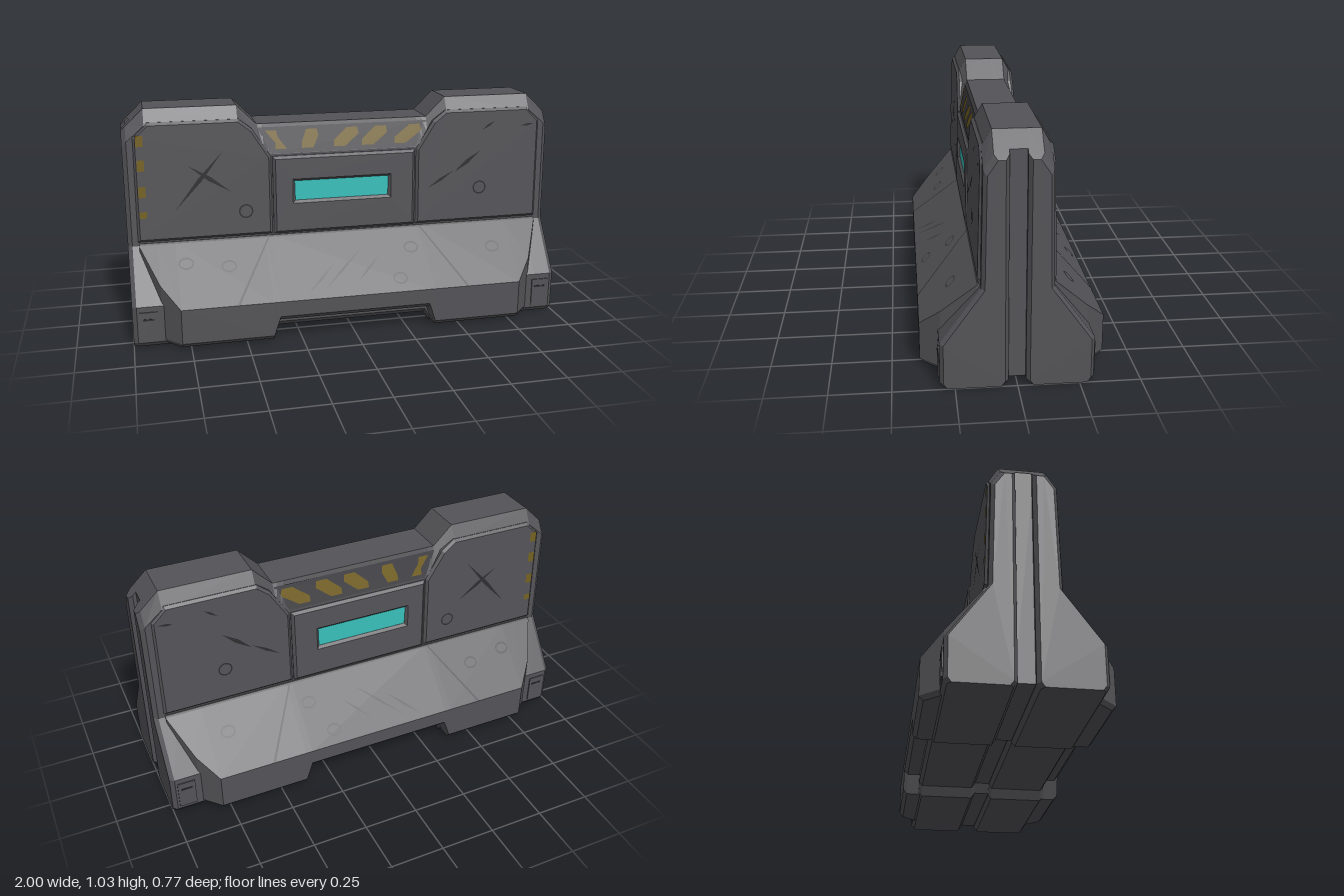
import * as THREE from 'three';

const mat = (name, color) => Object.assign(new THREE.MeshStandardMaterial({ color }), { name });

// Surface depth of the tilted upper panels, the sloped skirt and the hazard strip
const panelZ = (y) => 0.156 - 0.025 * (y - 0.43);
const skirtZ = (y) => (y < 0.19 ? 0.385 : 0.15 + (0.43 - y) * 0.98);
const stripZ = (y) => 0.135 - (y - 0.81) * 0.26;

// Joins cross-sections: stations are x values (rising), section(x) gives [z, y] points
function loft(stations, section) {
  const pos = [];
  const loops = stations.map((x) => section(x).map(([z, y]) => [x, y, z]));
  const n = loops[0].length;
  const tri = (a, b, c) => pos.push(...a, ...b, ...c);
  for (let s = 0; s < loops.length - 1; s++) {
    for (let i = 0; i < n; i++) {
      const j = (i + 1) % n;
      const a = loops[s][i], b = loops[s][j], c = loops[s + 1][i], d = loops[s + 1][j];
      tri(a, c, b);
      tri(b, c, d);
    }
  }
  for (const [loop, last] of [[loops[0], false], [loops[loops.length - 1], true]]) {
    const flat = loop.map((p) => new THREE.Vector2(p[2], p[1]));
    for (const [a, b, c] of THREE.ShapeUtils.triangulateShape(flat, [])) {
      if (last) tri(loop[a], loop[c], loop[b]);
      else tri(loop[a], loop[b], loop[c]);
    }
  }
  const geo = new THREE.BufferGeometry();
  geo.setAttribute('position', new THREE.Float32BufferAttribute(pos, 3));
  geo.computeVertexNormals();
  return geo;
}

// Copy reflected to the back, with the corner order swapped
function mirrorZ(source) {
  const geo = source.index ? source.toNonIndexed() : source.clone();
  const p = geo.attributes.position;
  for (let i = 0; i < p.count; i += 3) {
    const v = [0, 2, 1].map((k) => new THREE.Vector3().fromBufferAttribute(p, i + k));
    v.forEach((q, k) => p.setXYZ(i + k, q.x, q.y, -q.z));
  }
  geo.computeVertexNormals();
  return geo;
}

// Linear interpolation through [x, value] pairs, symmetric in x
function ramp(pairs, x) {
  const ax = Math.abs(x);
  for (let i = 1; i < pairs.length; i++) {
    const [x0, v0] = pairs[i - 1], [x1, v1] = pairs[i];
    if (ax <= x1) return v0 + ((v1 - v0) * (ax - x0)) / (x1 - x0);
  }
  return pairs[pairs.length - 1][1];
}
const symmetric = (xs) => [...xs.map((x) => -x), ...xs.slice().reverse()];

const polygon = (pts) => new THREE.Shape(pts.map(([x, y]) => new THREE.Vector2(x, y)));

// Bevelled armour plate, tilted slightly back toward the top
function plate(shape, front) {
  const geo = new THREE.ExtrudeGeometry(shape, {
    depth: 0.02, bevelThickness: 0.012, bevelSize: 0.012, bevelOffset: -0.012, bevelSegments: 1,
  });
  const p = geo.attributes.position;
  for (let i = 0; i < p.count; i++) {
    p.setZ(i, p.getZ(i) + front - 0.032 - 0.025 * (p.getY(i) - 0.43));
  }
  geo.computeVertexNormals();
  return geo;
}

// Flat painted detail laid on a surface
function decal(shape, surface, lift = 0.002) {
  const geo = new THREE.ShapeGeometry(shape).toNonIndexed();
  const p = geo.attributes.position;
  for (let i = 0; i < p.count; i++) p.setZ(i, surface(p.getY(i)) + lift);
  geo.computeVertexNormals();
  return geo;
}

// Scratch that tapers at both ends
function scratch(x0, y0, x1, y1, w) {
  const len = Math.hypot(x1 - x0, y1 - y0);
  const nx = (-(y1 - y0) / len) * w, ny = ((x1 - x0) / len) * w;
  const mx = (x0 + x1) / 2, my = (y0 + y1) / 2;
  return polygon([[x0, y0], [mx - nx, my - ny], [x1, y1], [mx + nx, my + ny]]);
}

function ringShape(x, y, rx, ry) {
  const shape = new THREE.Shape().absellipse(x, y, rx, ry, 0, Math.PI * 2);
  shape.holes.push(new THREE.Path().absellipse(x, y, rx - 0.007, ry - 0.007, 0, Math.PI * 2));
  return shape;
}

export function createModel() {
  const group = new THREE.Group();
  group.name = 'barrier';
  const body = mat('gunmetal', 0x545357);
  const dark = mat('dark seam', 0x2f2e31);
  const worn = mat('worn metal', 0x3f3e42);
  const yellow = mat('faded yellow', 0x73601f);
  const cyan = mat('cyan light', 0x38c0bb);

  const add = (name, geo, material) => {
    const mesh = new THREE.Mesh(geo, material);
    mesh.name = name;
    group.add(mesh);
  };
  const addBoth = (name, geo, material) => {
    add(name + 'Front', geo, material);
    add(name + 'Back', mirrorZ(geo), material);
  };

  // Two core halves, leaving a groove down the ends and along the base
  const topY = (x) => ramp([[0, 0.945], [0.4, 0.945], [0.49, 1.035], [0.9, 1.035], [1, 0.94]], x);
  const shoulderY = (x) => ramp([[0, 0.81], [0.345, 0.81], [0.4, 0.87], [0.49, 0.965], [0.9, 0.965], [1, 0.88]], x);
  const baseY = (x) => ramp([[0, 0.045], [0.35, 0.045], [0.375, 0], [1, 0]], x);
  const inset = (x) => ramp([[0, 0], [0.98, 0], [1, 0.015]], x);
  const core = loft(symmetric([1, 0.98, 0.9, 0.49, 0.4, 0.375, 0.35, 0.345]), (x) => {
    const b = baseY(x), d = inset(x);
    return [
      [0.035 + d, b + 0.02], [0.05 + d, b], [0.295 - d, b], [0.31 - d, b + 0.02], [0.31 - d, 0.19],
      [0.145 - d, 0.42], [0.135 - d, shoulderY(x)], [0.095 - d, topY(x)], [0.035 + d, topY(x)],
    ];
  });
  addBoth('coreHalf', core, body);

  // Recessed spine between the halves
  add('spine', loft(symmetric([0.965, 0.9, 0.49, 0.4, 0.375, 0.35]), (x) => {
    const b = baseY(x) + 0.025;
    return [[-0.045, b], [0.045, b], [0.045, topY(x)], [-0.045, topY(x)]];
  }), body);

  // Sloped skirt with chamfered corners and a raised middle
  const skirt = loft(symmetric([0.95, 0.87, 0.79, 0.38, 0.35]), (x) => {
    const z = ramp([[0, 0.385], [0.79, 0.385], [0.87, 0.3], [0.95, 0.16]], x);
    const b = ramp([[0, 0.1], [0.35, 0.1], [0.38, 0.01], [1, 0.01]], x);
    return [
      [0.05, b], [z - 0.018, b], [z, b + 0.02],
      [z, 0.43 - (z - 0.15) / 0.98], [0.15, 0.43], [0.05, 0.43],
    ];
  });
  addBoth('skirt', skirt, body);

  // Upper side plates
  for (const s of [-1, 1]) {
    const outline = [
      [0.343, 0.437], [0.955, 0.437], [0.955, 0.915], [0.89, 0.978], [0.485, 0.978], [0.425, 0.93], [0.343, 0.8],
    ].map(([x, y]) => [x * s, y]);
    addBoth(s > 0 ? 'leftPlate' : 'rightPlate', plate(polygon(outline), 0.156), body);
  }

  // Centre plate with a lit slot
  const centre = polygon([[-0.337, 0.437], [0.337, 0.437], [0.337, 0.8], [-0.337, 0.8]]);
  centre.holes.push(new THREE.Path([[-0.235, 0.59], [-0.235, 0.68], [0.207, 0.68], [0.207, 0.59]]
    .map(([x, y]) => new THREE.Vector2(x, y))));
  addBoth('centrePlate', plate(centre, 0.16), body);
  addBoth('lightSlot', new THREE.BoxGeometry(0.455, 0.1, 0.006).translate(-0.014, 0.635, 0.1405), cyan);

  // Hazard strip
  addBoth('hazardStrip', decal(polygon([[-0.34, 0.812], [0.34, 0.812], [0.4, 0.93], [-0.4, 0.93]]), stripZ), worn);
  for (const [x, lean] of [[-0.315, -0.025], [-0.16, 0.008], [0.01, 0.028], [0.145, 0.03], [0.305, 0.035]]) {
    const bar = polygon([[x - lean - 0.032, 0.832], [x - lean + 0.022, 0.832], [x + lean + 0.032, 0.885],
      [x + lean + 0.026, 0.915], [x + lean - 0.024, 0.915], [x - lean - 0.03, 0.86]]);
    addBoth('hazardBar', decal(bar, stripZ, 0.005), yellow);
  }

  // Yellow edge marks
  for (const y of [0.9, 0.79, 0.67, 0.565]) {
    const h = y > 0.6 ? 0.025 : 0.015;
    const dot = polygon([[-0.94, y - h], [-0.908, y - h], [-0.908, y + h], [-0.94, y + h]]);
    addBoth('edgeMark', decal(dot, panelZ), yellow);
  }

  // Panel seams
  addBoth('skirtSeam', decal(polygon([[-0.945, 0.424], [0.945, 0.424], [0.945, 0.431], [-0.945, 0.431]]), skirtZ), dark);
  for (const s of [-1, 1]) {
    addBoth('slopeSeam', decal(polygon([[s * 0.36, 0.425], [s * 0.368, 0.425], [s * 0.542, 0.192], [s * 0.53, 0.192]]),
      skirtZ), dark);
  }

  // Scratches and dents
  const upper = [
    [-0.78, 0.58, -0.56, 0.84, 0.01], [-0.72, 0.78, -0.53, 0.65, 0.01], [0.4, 0.61, 0.53, 0.69, 0.007],
    [0.53, 0.68, 0.66, 0.78, 0.01], [0.67, 0.88, 0.73, 0.92, 0.006], [0.86, 0.89, 0.93, 0.9, 0.006],
  ];
  for (const a of upper) addBoth('scratch', decal(scratch(...a), panelZ), dark);
  for (const a of [[-0.22, 0.21, -0.08, 0.31, 0.005], [-0.14, 0.22, 0.06, 0.36, 0.005], [0.02, 0.24, 0.14, 0.33, 0.005]]) {
    addBoth('slopeScratch', decal(scratch(...a), skirtZ), worn);
  }
  for (const [x, y] of [[0.66, 0.6], [-0.465, 0.555]]) addBoth('dent', decal(ringShape(x, y, 0.033, 0.033), panelZ), dark);
  for (const [x, y] of [[-0.75, 0.35], [-0.56, 0.33], [0.3, 0.35], [0.22, 0.24], [0.7, 0.33]]) {
    addBoth('slopeDent', decal(ringShape(x, y, 0.035, 0.022), skirtZ), worn);
  }

  // Corner foot brackets
  for (const s of [-1, 1]) {
    addBoth('footBracket', new THREE.BoxGeometry(0.08, 0.13, 0.012).translate(s * 0.93, 0.1, 0.309), body);
    addBoth('footBracketInset', new THREE.BoxGeometry(0.05, 0.008, 0.004).translate(s * 0.93, 0.13, 0.315), dark);
  }
  return group;
}
